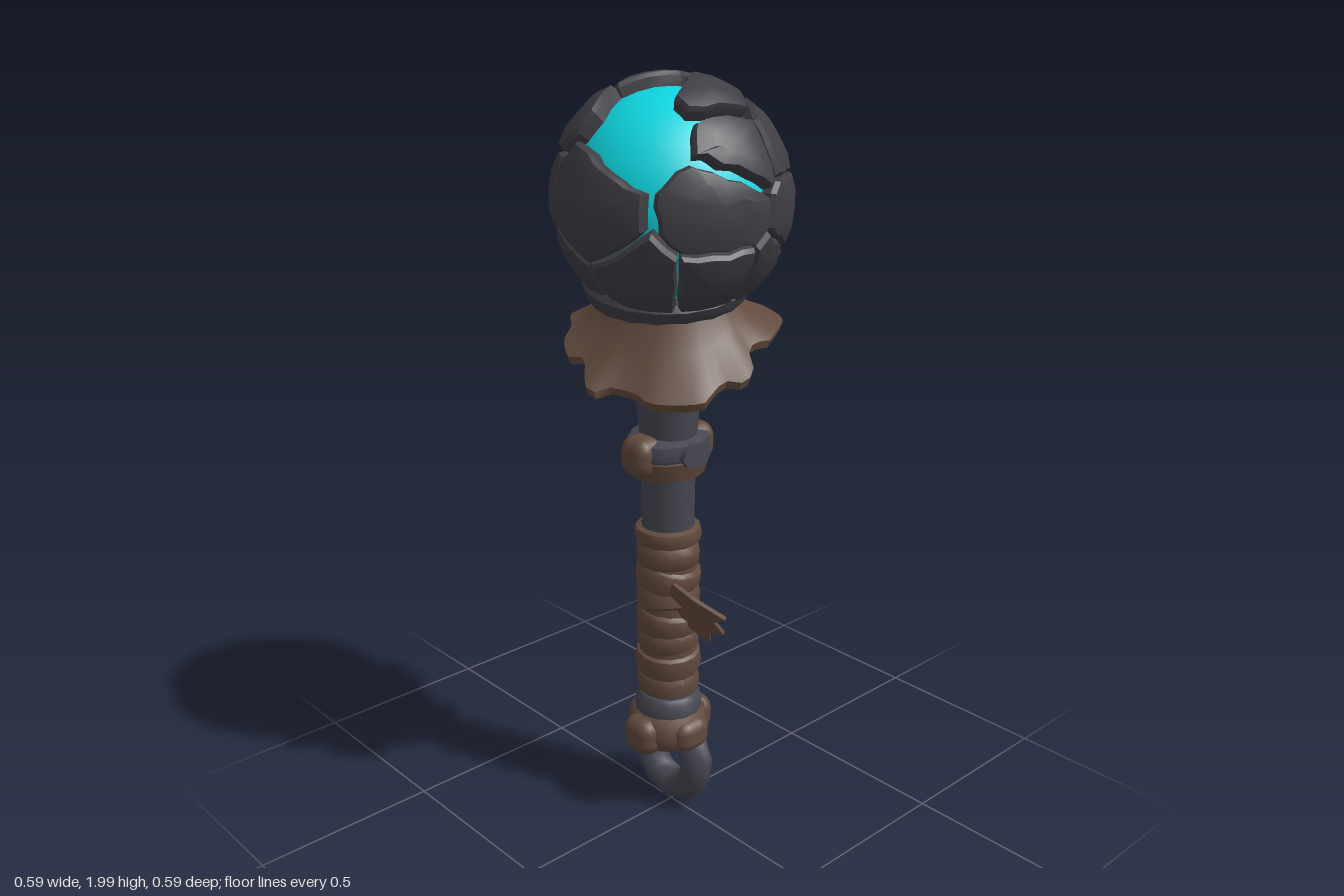
import * as THREE from 'three';
import { toCreasedNormals } from 'three/addons/utils/BufferGeometryUtils.js';
import { RoundedBoxGeometry } from 'three/addons/geometries/RoundedBoxGeometry.js';

const V = (x, y, z) => new THREE.Vector3(x, y, z);
const rad = THREE.MathUtils.degToRad;
const mat = (name, color) => Object.assign(new THREE.MeshStandardMaterial({ color }), { name });
const dir = (az, el) => V(Math.sin(rad(az)) * Math.cos(rad(el)), Math.sin(rad(el)), Math.cos(rad(az)) * Math.cos(rad(el)));

// Skin a list of closed, equally long cross-sections
function loft(rings, crease = 0.7) {
  const n = rings[0].length, index = [];
  for (let k = 0; k < rings.length - 1; k++) {
    for (let i = 0; i < n; i++) {
      const j = (i + 1) % n, a = k * n + i, b = k * n + j;
      index.push(a, b, b + n, a, b + n, a + n);
    }
  }
  const g = new THREE.BufferGeometry().setFromPoints(rings.flat());
  g.setIndex(index);
  return toCreasedNormals(g, crease);
}

const lathe = (pts, sides = 14) =>
  toCreasedNormals(new THREE.LatheGeometry(pts.map(([r, y]) => new THREE.Vector2(r, y)), sides), 0.8);

// Keep the part of a flat polygon where point . normal >= offset
function clip(poly, normal, offset) {
  const out = [];
  poly.forEach((p, i) => {
    const q = poly[(i + 1) % poly.length];
    const a = p.dot(normal) - offset, b = q.dot(normal) - offset;
    if (a >= 0) out.push(p);
    if (a * b < 0) out.push(p.clone().lerp(q, a / (a - b)));
  });
  return out;
}

// One stone plate: the cell around a seed direction, lofted to a bevelled shell.
// Cracks near the opening are wider.
function plateGeometry(seeds, holes, i, holeDir) {
  const c = seeds[i];
  const u = V(0, 1, 0).cross(c).normalize(), w = c.clone().cross(u);
  let poly = [[-2, -2], [2, -2], [2, 2], [-2, 2]].map(([a, b]) => c.clone().addScaledVector(u, a).addScaledVector(w, b));
  seeds.forEach((s, j) => {
    if (j === i) return;
    const near = c.clone().add(s).normalize().dot(holeDir);
    const gap = near > 0.62 ? 0.045 : near > 0.5 ? 0.032 : 0.008;
    poly = clip(poly, c.clone().sub(s).normalize(), gap);
  });
  holes.forEach((h) => { poly = clip(poly, c.clone().sub(h).normalize(), 0); });
  const edge = [];
  poly.forEach((p, k) => {
    const q = poly[(k + 1) % poly.length], steps = Math.max(1, Math.round(p.distanceTo(q) / 0.14));
    for (let s = 0; s < steps; s++) {
      const e = p.clone().lerp(q, s / steps);
      const amount = e.clone().normalize().dot(holeDir) > 0.75 ? 0.025 : 0.014;
      edge.push(e.add(V(Math.sin(e.y * 31 + e.z * 9), Math.sin(e.z * 27 + e.x * 11), Math.sin(e.x * 33 + e.y * 8)).multiplyScalar(amount)));
    }
  });
  const lift = 0.004 * Math.sin(i * 2.4);
  const profile = [[1, 0.245], [0.98, 0.283], [0.9, 0.293], [0.5, 0.297], [0.001, 0.297]];
  return loft(profile.map(([s, r]) => edge.map((e) => c.clone().lerp(e, s).setLength(r + lift))), 0.5);
}

export function createModel() {
  const root = new THREE.Group();
  root.name = 'scepter';
  const stone = mat('charcoal stone', 0x3f3e45);
  const iron = mat('dark iron', 0x454650);
  const leather = mat('brown leather', 0x614a3d);
  const glow = mat('cyan glow', 0x0ed8e2);
  const add = (name, geometry, material, x = 0, y = 0, z = 0, parent = root) => {
    const m = new THREE.Mesh(geometry, material);
    m.name = name;
    m.position.set(x, y, z);
    parent.add(m);
    return m;
  };
  const AX = -0.013;

  // Orb: glowing core inside cracked stone plates, open at the upper front
  const orb = new THREE.Group();
  orb.name = 'orb';
  orb.position.y = 1.703;
  root.add(orb);
  add('glowingCore', new THREE.SphereGeometry(0.258, 32, 20), glow, 0, 0, 0, orb);
  const toDirs = (list) => list.map(([az, el]) => dir(az, el));
  const holes = toDirs([[31, 42], [18, 75]]);
  const seeds = toDirs([
    [-96, 67], [92, 64], [186, 46], [-60, 43], [85, 34],
    [130, 30], [-130, 34], [-96, 16], [5, 0], [71, 5], [-50, 1], [-140, 2], [178, 3], [128, -3],
    [28, -38], [-26, -36], [74, -38], [113, -36], [156, -36], [-158, -34], [-112, -30], [-70, -36],
    [0, -68], [90, -68], [180, -68], [-90, -68],
  ]);
  seeds.forEach((_, i) => add('stonePlate', plateGeometry(seeds, holes, i, dir(33, 45)), stone, 0, 0, 0, orb));

  // Tilted cup that carries the orb
  const cup = add('orbCup', lathe([[0.1, -0.1], [0.15, -0.06], [0.185, -0.025], [0.206, 0.005], [0.212, 0.03], [0.2, 0.045], [0.15, 0.03]], 18), stone, -0.03, 1.475, -0.012);
  cup.rotation.set(0.14, 0, -0.14);

  // Ragged leather skirt, sagging at the front left and lifted at the back left
  const N = 72;
  const skirtRing = (r, y, sag, ragged) => Array.from({ length: N }, (_, i) => {
    const a = (i / N) * Math.PI * 2;
    const tooth = ragged * (0.7 * Math.tanh(2.5 * Math.sin(a * 9 + 1.5 * Math.sin(a * 4))) + 0.5 * Math.sin(a * 5 + 1));
    const radius = r + tooth;
    return V(Math.sin(a) * radius, y - sag * (Math.cos(a - 0.6) + 0.9 * Math.cos(2 * (a - 0.8))) - 0.5 * tooth, Math.cos(a) * radius);
  });
  add('raggedSkirt', loft([
    skirtRing(0.11, 1.4, 0.01, 0), skirtRing(0.185, 1.38, 0.025, 0), skirtRing(0.255, 1.335, 0.046, 0.024),
    skirtRing(0.262, 1.355, 0.046, 0.024), skirtRing(0.2, 1.405, 0.025, 0),
    skirtRing(0.172, 1.455, 0.01, 0), skirtRing(0.12, 1.46, 0.01, 0),
  ]), leather, -0.01);

  // Shaft with its upper ring
  add('shaft', lathe([[0, 0.26], [0.07, 0.26], [0.07, 0.9], [0.073, 1.08], [0.082, 1.18], [0.09, 1.245], [0.118, 1.25], [0.131, 1.268],
    [0.128, 1.292], [0.106, 1.31], [0.106, 1.36], [0.13, 1.43]]), iron, AX);

  // Middle guard: leather band, oval iron ring, side pegs, leather knots
  const band = add('guardBand', lathe([[0.07, 0.995], [0.088, 1.0], [0.102, 1.05], [0.07, 1.065]]), leather, AX);
  band.scale.z = 1.15;
  const guard = add('guardRing', lathe([[0.07, 1.035], [0.1, 1.04], [0.112, 1.06], [0.106, 1.095], [0.07, 1.108]]), iron, AX);
  guard.scale.set(0.9, 1, 1.08);
  const knot = new RoundedBoxGeometry(2, 2, 2, 3, 0.75);
  for (const s of [1, -1]) {
    const peg = add('guardPeg', new THREE.CylinderGeometry(0.03, 0.034, 0.05, 8), iron, AX + s * 0.085, 1.068, 0);
    peg.rotation.z = Math.PI / 2;
    peg.scale.z = 1.4;
    add('guardKnot', knot, leather, AX, 1.062, s * 0.088).scale.set(0.05, 0.053, 0.046);
  }

  // Leather grip: overlapping tilted coils
  add('gripCore', lathe([[0.06, 0.37], [0.079, 0.37], [0.079, 0.84], [0.06, 0.84]]), leather, AX);
  const coils = [[0.83, 0.023, 0.09, 0], [0.773, 0.037, 0.085, 0.08], [0.71, 0.038, 0.088, -0.22], [0.65, 0.04, 0.086, 0.28],
    [0.585, 0.038, 0.088, -0.2], [0.525, 0.034, 0.084, 0.16], [0.46, 0.036, 0.09, -0.08], [0.395, 0.033, 0.086, 0.05]];
  coils.forEach(([y, h, r, tilt], i) => {
    const coil = add('gripCoil', lathe([[0.072, -h], [r - 0.005, -h * 0.85], [r, 0], [r - 0.004, h * 0.75], [0.072, h]]), leather, AX, y);
    coil.rotation.set(tilt * (i % 3 - 1) * 0.6, 0, tilt);
  });

  // Loose strap end with a torn tip
  const strap = new THREE.Shape([[0, 0.04], [0.07, 0.038], [0.17, 0.05], [0.155, 0.02], [0.2, 0.008], [0.17, -0.012], [0.195, -0.045], [0.09, -0.042], [0, -0.04]].map(([x, y]) => new THREE.Vector2(x, y)));
  const tail = add('looseStrap', new THREE.ExtrudeGeometry(strap, { depth: 0.015, bevelEnabled: false }), leather, 0.03, 0.69, 0.05);
  tail.rotation.set(0.3, 0.6, -0.9);

  // Pommel: iron collar, leather wrap and knots
  add('pommelCollar', lathe([[0.07, 0.3], [0.092, 0.31], [0.09, 0.345], [0.078, 0.36], [0.06, 0.36]]), iron, AX);
  add('pommelWrap', lathe([[0, 0.19], [0.06, 0.195], [0.1, 0.215], [0.112, 0.25], [0.104, 0.295], [0.085, 0.315], [0.06, 0.318]]), leather, AX);
  for (const s of [1, -1]) {
    add('pommelKnot', knot, leather, AX, 0.252, s * 0.086).scale.set(0.054, 0.053, 0.047);
    add('pommelSideKnot', knot, leather, AX + s * 0.078, 0.255, 0).scale.set(0.044, 0.046, 0.055);
  }

  // Hanging loop
  const loop = add('hangingLoop', new THREE.TorusGeometry(0.096, 0.044, 8, 11), iron, -0.01, 0.148, -0.015);
  loop.rotation.z = -Math.PI / 2;
  return root;
}
